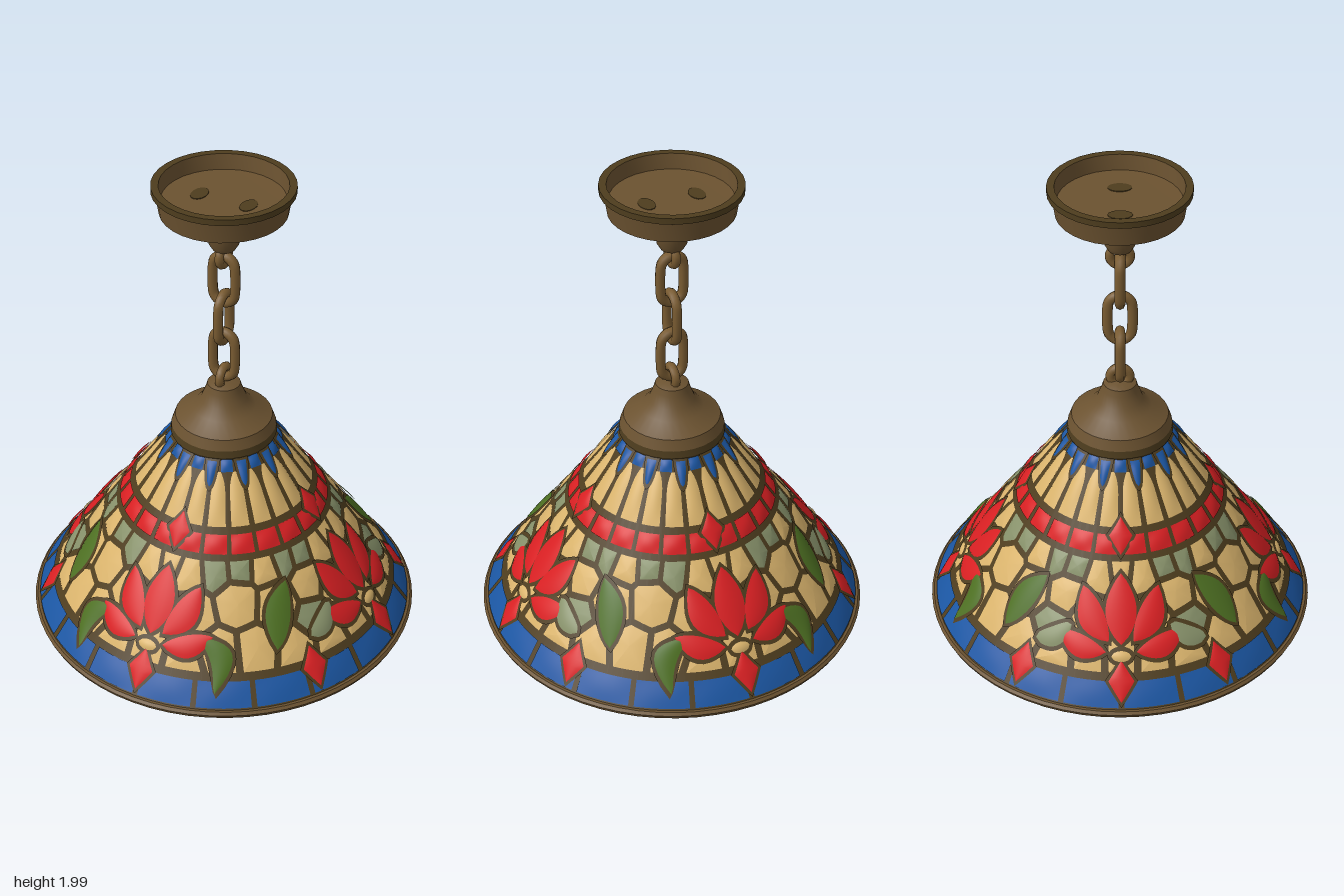
import * as THREE from 'three';
import { mergeGeometries, toCreasedNormals } from 'three/addons/utils/BufferGeometryUtils.js';

const COLORS = {
  cream: 0xd9b36c, red: 0xd81f22, blue: 0x1b56a2, green: 0x4d6f22,
  sage: 0x87916a, brass: 0x6b5230, lead: 0x4e3d1e, chainBrass: 0x7a5c32,
};
const RAD = Math.PI / 180;

// Radius of the shade cone at a given height
const R = (y) => 0.812 - 0.72 * (y - 0.02);
// Point on the cone, lifted off its surface by off
function onCone(angle, y, off) {
  const r = R(y) + off * 0.815;
  return [r * Math.sin(angle), y + off * 0.58, r * Math.cos(angle)];
}

// Indexed surface patch from a rule fn(i, j) -> [x, y, z]
function grid(ni, nj, fn, flip = false) {
  const pos = [], index = [];
  for (let i = 0; i <= ni; i++) {
    for (let j = 0; j <= nj; j++) pos.push(...fn(i, j));
  }
  for (let i = 0; i < ni; i++) {
    for (let j = 0; j < nj; j++) {
      const a = i * (nj + 1) + j, b = a + 1, d = a + nj + 1, c = d + 1;
      index.push(...(flip ? [a, c, b, a, d, c] : [a, b, c, a, c, d]));
    }
  }
  const g = new THREE.BufferGeometry();
  g.setAttribute('position', new THREE.Float32BufferAttribute(pos, 3));
  g.setIndex(index);
  g.computeVertexNormals();
  return g;
}

// Glass strip running from p0 to p1; profile(t) scales its half width w
const slab = () => 1;
const sinPow = (k) => (t) => Math.pow(Math.max(0, Math.sin(Math.PI * t)), k);
const lens = sinPow(1), petal = sinPow(0.8), oval = sinPow(0.5);
const arch = (t) => (t < 0.6 ? 0.92 : 0.92 * Math.sqrt(Math.max(0.1, 1 - ((t - 0.6) / 0.4) ** 2)));
const diamond = (t) => 1 - Math.abs(2 * t - 1);
const wedge = (t) => Math.sqrt(t);
function strip(deg, p0, p1, w, profile, bend = 0, base = 0.004, bulge = 0.006, flip = false) {
  const dx = p1[0] - p0[0], dy = p1[1] - p0[1], len = Math.hypot(dx, dy);
  const ref = R((p0[1] + p1[1]) / 2), n = 10, m = 6;
  return grid(n, m, (i, j) => {
    const t = i / n, s = (2 * j) / m - 1;
    const k = w * profile(t) * s + bend * Math.sin(Math.PI * t);
    const x = p0[0] + dx * t + (dy / len) * k;
    const y = p0[1] + dy * t - (dx / len) * k;
    return onCone(deg * RAD + x / ref, y, base + bulge * (1 - s * s) * lens(t));
  }, flip);
}

// Convex cells around seeds, separated by lead lines
function mosaicCell(seed, seeds) {
  const K = 0.6, S = 1.2, gap = 0.013;
  const cy = seed.y * S, lo = 0.158 * S - cy, hi = 0.522 * S - cy;
  let poly = [[-0.2, lo], [0.2, lo], [0.2, hi], [-0.2, hi]];
  for (const o of seeds) {
    if (o === seed) continue;
    const d = ((o.deg - seed.deg + 540) % 360) - 180;
    const nx = d * RAD * K, ny = o.y * S - cy, len = Math.hypot(nx, ny);
    const dist = (p) => (p[0] * nx + p[1] * ny) / len - len / 2 + gap;
    poly = poly.flatMap((p, i) => {
      const q = poly[(i + 1) % poly.length], a = dist(p), b = dist(q), out = a <= 0 ? [p] : [];
      if (a * b < 0) out.push([p[0] + (q[0] - p[0]) * a / (a - b), p[1] + (q[1] - p[1]) * a / (a - b)]);
      return out;
    });
  }
  const n = poly.length, sub = 4;
  const c = [0, 1].map((k) => poly.reduce((s, p) => s + p[k], 0) / n);
  return grid(3, n * sub, (i, j) => {
    const e = Math.floor(j / sub), f = (j % sub) / sub, p = poly[e % n], q = poly[(e + 1) % n], t = 1 - i / 3;
    const x = c[0] + (p[0] + (q[0] - p[0]) * f - c[0]) * t;
    const y = c[1] + (p[1] + (q[1] - p[1]) * f - c[1]) * t;
    return onCone(seed.deg * RAD + x / K, (cy + y) / S, 0.003 + 0.005 * (1 - t * t));
  });
}

export function createModel() {
  const model = new THREE.Group();
  model.name = 'pendantLamp';
  const mats = {};
  for (const [name, color] of Object.entries(COLORS)) {
    mats[name] = new THREE.MeshStandardMaterial({ color });
    mats[name].name = name;
  }
  function add(name, geo, mat, parent = model) {
    const mesh = new THREE.Mesh(geo, mats[mat]);
    mesh.name = name;
    parent.add(mesh);
    return mesh;
  }
  const lathe = (pts, seg = 64) => toCreasedNormals(
    new THREE.LatheGeometry(pts.map((p) => new THREE.Vector2(...p)), seg), 0.5);

  // Glass pieces gathered by part name and colour
  const parts = {};
  const put = (name, mat, geo) => (parts[name + '|' + mat] ??= []).push(geo);
  // Raised piece with a lead border beneath it
  function bordered(name, mat, deg, p0, p1, w, profile, bend = 0) {
    const len = Math.hypot(p1[0] - p0[0], p1[1] - p0[1]), e = 0.017 / len;
    const ext = (p, q) => [p[0] + (p[0] - q[0]) * e, p[1] + (p[1] - q[1]) * e];
    put('leadBorders', 'lead', strip(deg, ext(p0, p1), ext(p1, p0), w + 0.015, profile, bend, 0.0095, 0.001));
    put(name, mat, strip(deg, p0, p1, w, profile, bend, 0.0125, 0.006));
  }

  // Shade body and rim
  add('shadeLeading', lathe([[R(0.02), 0.02], [R(0.87), 0.87]], 72), 'lead');
  add('shadeRim', lathe([[0.785, 0.008], [0.815, 0.008], [0.822, 0.025], [0.812, 0.036], [0.775, 0.036], [0.785, 0.008]]), 'brass');

  // Shade lining, in bands
  const inner = (y, d) => [R(y) - d, y];
  add('liningLeading', lathe([inner(0.87, 0.012), inner(0.02, 0.012)]), 'lead');
  for (const [mat, y0, y1] of [['blue', 0.04, 0.13], ['cream', 0.135, 0.515], ['red', 0.515, 0.605],
    ['sage', 0.61, 0.72], ['cream', 0.73, 0.86]]) {
    add(mat + 'LiningBand', lathe([inner(y1, 0.016), inner(y0, 0.016)]), mat);
  }
  for (let i = 0; i < 16; i++) {
    put('liningLeadLines', 'lead', strip(i * 22.5 + 11, [0, 0.13], [0, 0.3 + 0.15 * (i % 2)], 0.007, lens, 0, -0.024, 0, true));
  }

  // Blue border with red diamonds
  for (let i = 0; i < 20; i++) {
    put('borderGlass', 'blue', strip(i * 18 + 9, [0, 0.042], [0, 0.13], 0.109, slab, 0, 0.005, 0.003));
  }
  for (const deg of [0, 57, 90, 123, 180, 237, 270, 303]) {
    bordered('borderDiamonds', 'red', deg, [0, 0.06], [0, 0.2], 0.052, diamond);
    put('liningDiamonds', 'red', strip(deg, [0, 0.055], [0, 0.19], 0.052, diamond, 0, -0.028, 0, true));
  }

  // Each quadrant is mirrored: angle on the shade and handedness
  const quadrants = [[0, 1], [0, -1], [180, -1], [180, 1]];

  // Mosaic ground of one quadrant: [degrees from the front, height, colour]
  const ground = [
    [0, 0.5, 'cream'], [10, 0.48, 'cream'], [23, 0.505, 'sage'], [35, 0.515, 'sage'], [47, 0.5, 'cream'],
    [58, 0.515, 'sage'], [68, 0.505, 'sage'], [80, 0.48, 'cream'], [90, 0.5, 'cream'],
    [14, 0.34, 'cream'], [33, 0.385, 'cream'], [49, 0.36, 'cream'], [67, 0.395, 'cream'], [77, 0.34, 'cream'],
    [0, 0.19, 'cream'], [13, 0.185, 'cream'], [25, 0.22, 'cream'], [39, 0.225, 'cream'], [53, 0.2, 'cream'],
    [64, 0.27, 'sage'], [67, 0.175, 'cream'], [79, 0.185, 'cream'], [90, 0.19, 'cream'],
  ];
  const seeds = ground.flatMap(([d, y, mat]) => quadrants
    .filter(([, m], i) => (d === 0 ? m > 0 : d < 90 || i < 2))
    .map(([q, m]) => ({ deg: q + m * d, y, mat })));
  for (const s of seeds) put('mosaicGround', s.mat, mosaicCell(s, seeds));

  // Crescent leaves and pale leaves between the flowers
  for (const [q, m] of quadrants) {
    bordered('leaves', 'green', q + m * 25, [-0.08 * m, 0.275], [-0.01 * m, 0.09], 0.046, petal, -0.065 * m);
    bordered('leaves', 'green', q + m * 51, [0.045 * m, 0.43], [-0.055 * m, 0.215], 0.052, petal, 0.022 * m);
    bordered('paleLeaves', 'sage', q + m * 64, [-0.055 * m, 0.225], [0.08 * m, 0.3], 0.034, oval, 0.015 * m);
  }

  // Four flowers
  for (let q = 0; q < 360; q += 90) {
    for (const m of [-1, 1]) {
      bordered('flowerPetals', 'red', q, [0.06 * m, 0.225], [0.26 * m, 0.275], 0.038, petal, 0.014 * m);
      bordered('flowerPetals', 'red', q, [0.045 * m, 0.26], [0.17 * m, 0.435], 0.05, petal, 0.014 * m);
    }
    bordered('flowerPetals', 'red', q, [0, 0.25], [0, 0.485], 0.062, petal);
    bordered('flowerBase', 'cream', q, [-0.04, 0.212], [0.04, 0.212], 0.018, oval);
    bordered('bandDiamonds', 'red', q, [0, 0.545], [0, 0.67], 0.046, diamond);
  }

  // Red band, cream rays and blue crown
  for (let i = 0; i < 24; i++) {
    const deg = i * 15;
    put('redBand', 'red', strip(deg + 7.5, [0, 0.545], [0, 0.61], 0.045, slab, 0, 0.005, 0.006));
    put('creamRays', 'cream', strip(deg + 7.5, [0, 0.635], [0, 0.815], 0.033, arch));
    put('blueCrown', 'blue', strip(deg, [0, 0.815], [0, 0.86], 0.023, slab));
    if (i % 2) bordered('blueCrown', 'blue', deg, [0, 0.765], [0, 0.85], 0.022, wedge);
  }
  const shade = new THREE.Group();
  shade.name = 'shadeGlass';
  model.add(shade);
  for (const [key, geos] of Object.entries(parts)) {
    const [name, mat] = key.split('|');
    add(name + '_' + mat, mergeGeometries(geos), mat, shade);
  }

  // Cap on the shade, with a dark lower lip
  add('shadeCap', lathe([[0.216, 0.9], [0.2, 0.945], [0.13, 0.985],
    [0.095, 1.02], [0.075, 1.07], [0.068, 1.095], [0.045, 1.105], [0, 1.108]], 32), 'brass');
  add('shadeCapLip', lathe([[0, 0.85], [0.21, 0.85], [0.22, 0.87], [0.216, 0.9]], 32), 'lead');

  // Ceiling canopy with a dished top and a dark rim
  add('ceilingCanopy', lathe([[0, 1.72], [0.045, 1.72], [0.06, 1.745], [0.065, 1.8], [0.085, 1.82], [0.21, 1.865],
    [0.25, 1.885], [0.262, 1.965]], 32), 'brass');
  add('canopyRim', lathe([[0.262, 1.965], [0.28, 1.975], [0.28, 2], [0.25, 2]], 32), 'lead');
  add('canopyDish', lathe([[0.25, 2], [0.243, 1.935], [0, 1.93]], 32), 'brass');
  for (const x of [-0.105, 0.105]) {
    const slot = add('canopySlot', new THREE.CylinderGeometry(0.032, 0.032, 0.004, 14), 'lead');
    slot.position.set(x, 1.933, 0);
    slot.scale.z = 1.5;
  }

  // Chain links, alternately turned, between two eyes
  const oblong = [];
  for (let i = 0; i < 16; i++) {
    const a = (i + 0.5) * Math.PI / 8;
    oblong.push(new THREE.Vector3(0.048 * Math.cos(a), 0.05 * Math.sin(a) + 0.055 * Math.sign(Math.sin(a)), 0));
  }
  const linkGeo = new THREE.TubeGeometry(new THREE.CatmullRomCurve3(oblong, true), 48, 0.021, 8, true);
  [1.58, 1.405, 1.23].forEach((y, i) => {
    const link = add('chainLink', linkGeo, 'chainBrass');
    link.position.y = y;
    link.rotation.y = (i % 2) * Math.PI / 2;
  });
  for (const y of [1.69, 1.125]) {
    const eye = add('chainEye', new THREE.TorusGeometry(0.04, 0.019, 8, 24), 'chainBrass');
    eye.position.y = y;
    eye.rotation.y = Math.PI / 2;
  }
  return model;
}
